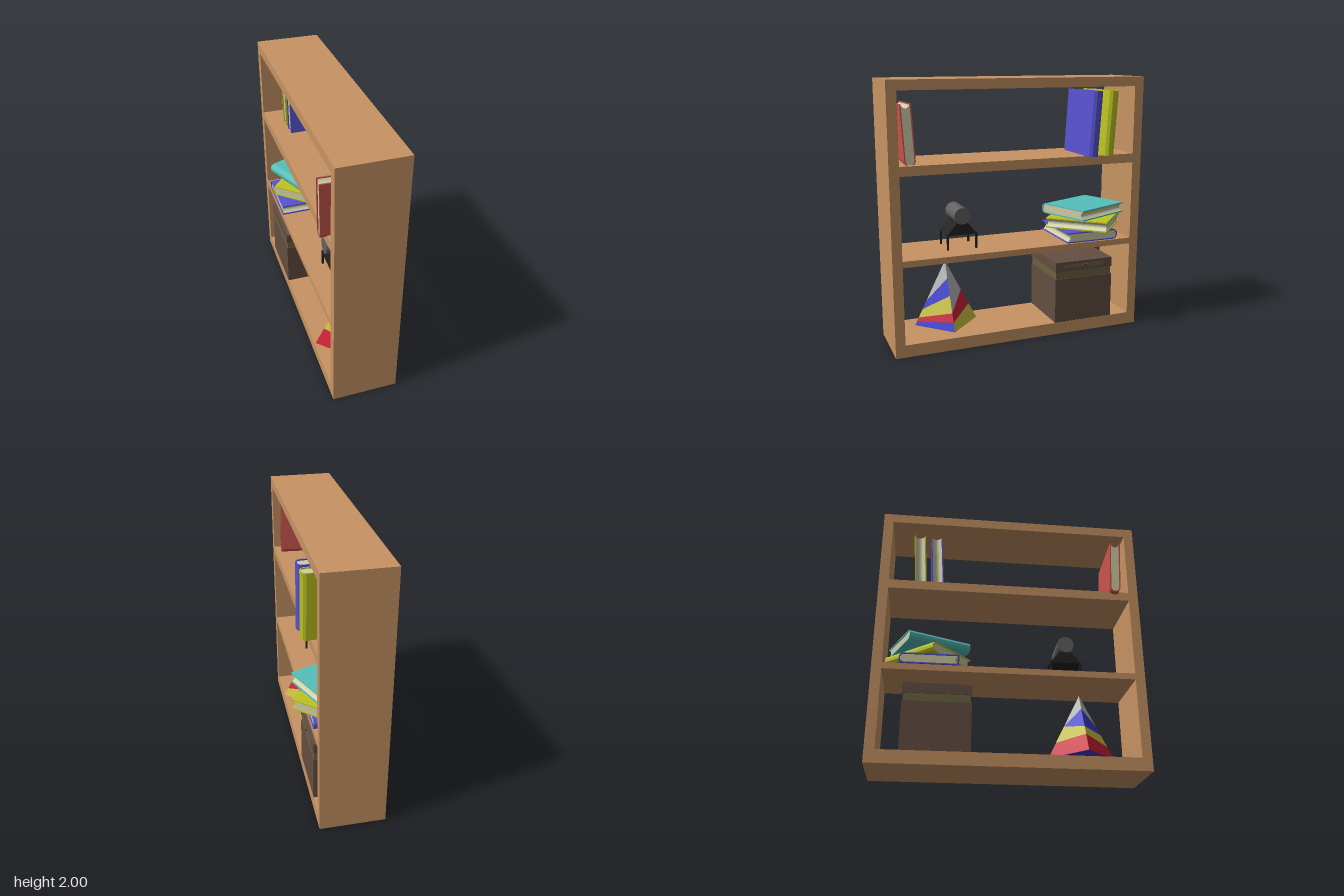
import * as THREE from 'three';

const C = {
  wood: 0xc89464, page: 0xcdcda6, blue: 0x5852d2, lime: 0xbdc422, teal: 0x56c0bb, red: 0xc8544c,
  brown: 0x644e41, olive: 0x6b6440, black: 0x232323, iron: 0x626264,
  toyGrey: 0xb8b8b8, toyBlue: 0x3c3cd0, toyYellow: 0xccc444, toyRed: 0xd02038,
};
const V = (x, y, z) => new THREE.Vector3(x, y, z);
const P = (x, y) => new THREE.Vector2(x, y);

function mesh(name, geometry, color, parent, flat = true) {
  const material = new THREE.MeshStandardMaterial({ color, flatShading: flat });
  const m = new THREE.Mesh(geometry, material);
  m.name = name;
  parent.add(m);
  return m;
}

// Box given by its min and max corners
function box(name, a, b, color, parent) {
  const m = mesh(name, new THREE.BoxGeometry(b[0] - a[0], b[1] - a[1], b[2] - a[2]), color, parent);
  m.position.set((a[0] + b[0]) / 2, (a[1] + b[1]) / 2, (a[2] + b[2]) / 2);
  return m;
}

function extrude(points, depth) {
  const g = new THREE.ExtrudeGeometry(new THREE.Shape(points), { depth, bevelEnabled: false });
  return g.translate(0, 0, -depth / 2);
}

// Book: fore-edge points along `fore`, its length runs along `along`
function book(name, color, centre, fore, along, thick, parent) {
  const W = 0.435, L = 0.49, c = 0.009, bulge = 0.035;
  // Outline from the upper fore-edge round the spine to the lower one
  const outline = (inset, right) => {
    const pts = [P(right, thick / 2 - inset)];
    for (let i = 0; i <= 5; i++) {
      const a = Math.PI / 2 + (Math.PI * i) / 5;
      pts.push(P(-W / 2 + bulge + (bulge - inset) * Math.cos(a), (thick / 2 - inset) * Math.sin(a)));
    }
    pts.push(P(right, -thick / 2 + inset));
    return pts;
  };
  const g = new THREE.Group();
  g.name = name;
  mesh('cover', extrude([...outline(0, W / 2), ...outline(c, W / 2).reverse()], L), color, g);

  // Page block with a hollow fore-edge
  const pages = outline(c, W / 2 - 0.008);
  const h = thick / 2 - c;
  for (let i = 1; i < 6; i++) {
    const s = -1 + i / 3;
    pages.push(P(W / 2 - 0.008 - 0.022 * (1 - s * s), h * s));
  }
  mesh('pages', extrude(pages, L - 0.016), C.page, g);

  const l = along.clone().normalize();
  const t = l.clone().cross(fore).normalize();
  const n = t.clone().cross(l);
  g.quaternion.setFromRotationMatrix(new THREE.Matrix4().makeBasis(n, t, l));
  g.position.copy(centre);
  parent.add(g);
}

function flatBook(name, color, centre, degrees, parent) {
  const a = THREE.MathUtils.degToRad(degrees);
  const fore = V(Math.cos(a), 0, -Math.sin(a));
  book(name, color, centre, fore, fore.clone().cross(V(0, 1, 0)), 0.08, parent);
}

// Frame with three open bays
function bookcase(parent) {
  const rect = (w, y0, y1) => [P(-w, y0), P(w, y0), P(w, y1), P(-w, y1)];
  const shape = new THREE.Shape(rect(0.993, 0, 2));
  for (const [y0, y1] of [[0.095, 0.683], [0.73, 1.34], [1.41, 1.928]]) {
    shape.holes.push(new THREE.Path(rect(0.92, y0, y1).reverse()));
  }
  const g = new THREE.ExtrudeGeometry(shape, { depth: 0.49, bevelEnabled: false });
  mesh('bookcase', g.rotateY(Math.PI / 2).translate(-0.28, 0, 0), C.wood, parent);
}

// Lidded storage box
function storageBox(parent) {
  const g = new THREE.Group();
  g.name = 'storageBox';
  box('body', [-0.28, 0.095, -0.765], [0.208, 0.45, -0.275], C.brown, g);
  box('band', [-0.274, 0.45, -0.758], [0.202, 0.51, -0.281], C.olive, g);
  box('lid', [-0.28, 0.51, -0.765], [0.208, 0.585, -0.275], C.brown, g);
  box('lidPanel', [0.2, 0.534, -0.69], [0.21, 0.562, -0.34], C.olive, g);
  box('clasp', [0.2, 0.54, -0.54], [0.222, 0.556, -0.5], C.brown, g);
  parent.add(g);
}

// Four-sided pyramid with slanted colour bands
function pyramid(parent) {
  const g = new THREE.Group();
  g.name = 'pyramid';
  const r = 0.245, apex = V(0, 0.49, 0);
  const corner = [V(r, 0, 0), V(0, 0, -r), V(-r, 0, 0), V(0, 0, r)];
  const { toyGrey: G, toyBlue: B, toyYellow: Y, toyRed: R } = C;
  // Per face: colour and lower limit at its two edges, from tip to base
  const faces = [
    [[G, 0.74, 0.5], [R, 0.87, 0.75], [Y, 1, 1]],
    [[G, 0.5, 0.25], [B, 0.5, 0.58], [Y, 0.76, 0.72], [R, 1, 1]],
    [[G, 0.25, 0.5], [B, 0.58, 0.62], [Y, 0.72, 0.8], [R, 1, 1]],
    [[G, 0.62, 0.25], [B, 0.75, 0.5], [Y, 0.88, 0.74], [R, 0.94, 0.87], [B, 1, 1]],
  ];
  const surface = (pts, idx) => {
    const geo = new THREE.BufferGeometry().setFromPoints(pts);
    geo.setIndex(idx);
    geo.computeVertexNormals();
    return geo;
  };
  faces.forEach((bands, f) => {
    const a = corner[f], b = corner[(f + 1) % 4];
    let ta = 0, tb = 0;
    for (const [color, na, nb] of bands) {
      const at = (p, t) => apex.clone().lerp(p, t);
      mesh('band', surface([at(a, ta), at(a, na), at(b, nb), at(b, tb)], [0, 1, 2, 0, 2, 3]), color, g);
      ta = na;
      tb = nb;
    }
  });
  mesh('base', surface(corner, [0, 2, 1, 0, 3, 2]), B, g);
  g.position.set(-0.035, 0.14, 0.545);
  parent.add(g);
}

// Drum on a small four-legged stand
function drumOnStand(parent) {
  const g = new THREE.Group();
  g.name = 'drumOnStand';
  const drum = mesh('drum', new THREE.CylinderGeometry(0.063, 0.063, 0.25, 24), C.iron, g, false);
  drum.rotation.z = Math.PI / 2;
  drum.position.set(0, 0.99, 0);
  const stand = extrude([P(-0.12, 0.845), P(0.12, 0.845), P(0.043, 0.932), P(-0.043, 0.932)], 0.22);
  mesh('stand', stand.rotateY(Math.PI / 2), C.black, g);
  for (const x of [-0.1, 0.1]) {
    for (const z of [-0.111, 0.111]) {
      box('leg', [x - 0.007, 0.732, z - 0.007], [x + 0.007, 0.85, z + 0.007], C.black, g);
    }
  }
  g.position.set(-0.05, 0, 0.43);
  parent.add(g);
}

export function createModel() {
  const model = new THREE.Group();
  model.name = 'filledBookcase';
  bookcase(model);
  storageBox(model);
  pyramid(model);
  drumOnStand(model);

  // Stacked books
  flatBook('lowerStackedBook', C.blue, V(-0.035, 0.775, -0.588), -90, model);
  flatBook('middleStackedBook', C.lime, V(0.01, 0.865, -0.603), -41.9, model);
  flatBook('upperStackedBook', C.teal, V(0.009, 0.965, -0.595), 23, model);

  // Standing books
  const lean = V(0, 1, -0.062);
  book('frontStandingBook', C.blue, V(0.063, 1.655, -0.563), V(-1, 0, 0), lean, 0.09, model);
  book('rearStandingBook', C.lime, V(0.06, 1.655, -0.696), V(-1, 0, 0), lean, 0.09, model);
  book('leaningBook', C.red, V(-0.085, 1.61, 0.828), V(-0.035, 1, 0.05), V(1, 0.02, 0.05), 0.08, model);
  return model;
}
